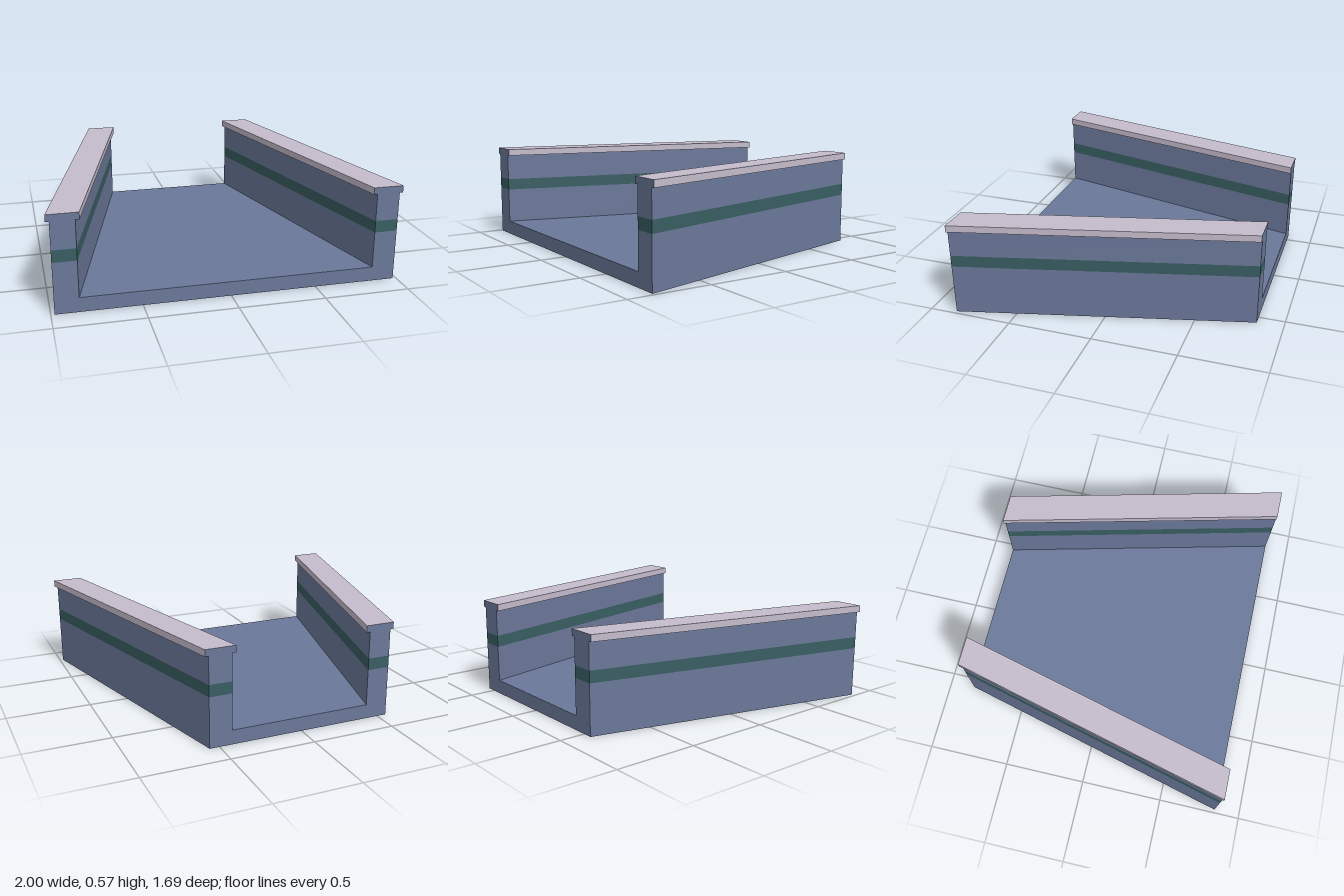
import * as THREE from 'three';

const HALF = 0.845;  // half length along z
const TAPER = 0.25;  // inward shift per unit of z towards the back

const blue = new THREE.MeshStandardMaterial({ name: 'slate blue', color: 0x6b789a });
const teal = new THREE.MeshStandardMaterial({ name: 'dark teal', color: 0x385e62 });
const mauve = new THREE.MeshStandardMaterial({ name: 'pale mauve', color: 0xc5bccc });

// Block given by its front extents, narrowing to the back.
// faces: materials for +x, -x, +y, -y, +z, -z; null leaves a hidden face out.
function taperedBlock(name, x0, x1, y0, y1, faces) {
  const box = new THREE.BoxGeometry(x1 - x0, y1 - y0, 2 * HALF);
  box.translate((x0 + x1) / 2, (y0 + y1) / 2, 0);
  const pos = box.attributes.position;
  for (let i = 0; i < pos.count; i++) {
    const x = pos.getX(i);
    pos.setX(i, x - Math.sign(x) * (HALF - pos.getZ(i)) * TAPER);
  }
  box.computeVertexNormals();
  const source = Array.from(box.index.array);
  const index = [];
  const materials = [];
  box.clearGroups();
  faces.forEach((material, f) => {
    if (!material) return;
    box.addGroup(index.length, 6, materials.length);
    index.push(...source.slice(f * 6, f * 6 + 6));
    materials.push(material);
  });
  box.setIndex(index);
  const mesh = new THREE.Mesh(box, materials);
  mesh.name = name;
  return mesh;
}

export function createModel() {
  const model = new THREE.Group();
  model.name = 'taperedChannel';

  // Floor between the walls
  model.add(taperedBlock('floor', -0.845, 0.845, 0, 0.085, [null, null, blue, blue, blue, blue]));

  // Side walls: base, flush band, upper course and overhanging coping
  for (const [name, side] of [['left', 1], ['right', -1]]) {
    const wall = new THREE.Group();
    wall.name = name + 'Wall';
    const add = (part, inner, outer, y0, y1, faces) => {
      const [x0, x1] = side > 0 ? [inner, outer] : [-outer, -inner];
      wall.add(taperedBlock(name + part, x0, x1, y0, y1, faces));
    };
    add('WallBase', 0.845, 0.98, 0, 0.3, [blue, blue, null, blue, blue, blue]);
    add('WallBand', 0.845, 0.98, 0.3, 0.37, [teal, teal, null, null, teal, teal]);
    add('WallTop', 0.845, 0.98, 0.37, 0.53, [blue, blue, null, null, blue, blue]);
    add('Coping', 0.823, 1, 0.53, 0.57, [mauve, mauve, mauve, blue, blue, blue]);
    model.add(wall);
  }
  return model;
}
